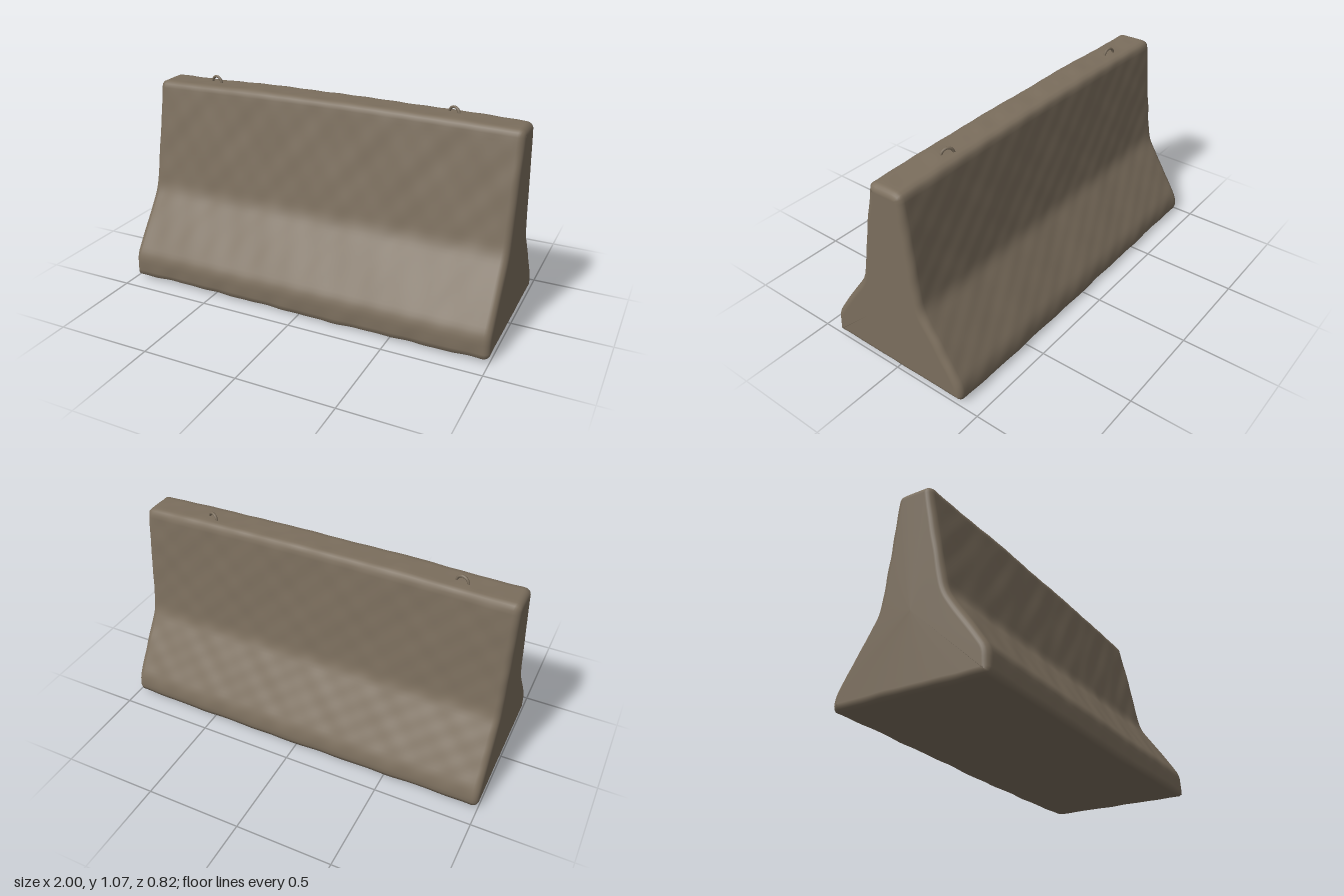
import * as THREE from 'three';

// Cross-section corners: z, y, length of the rounding
const CORNERS = [
  [0.408, 0.016, 0.02], [0.406, 0.135, 0.04], [0.178, 0.462, 0.05], [0.062, 1.04, 0.022],
  [-0.12, 1.04, 0.03], [-0.168, 0.58, 0.1], [-0.186, 0.44, 0.04], [-0.402, 0.1, 0.05], [-0.405, 0.016, 0.025],
];
const RING = 140;
const END_RADIUS = 0.035;

// Closed outline with softened corners, evenly resampled
function sectionPoints() {
  const pts = CORNERS.map(([z, y]) => new THREE.Vector2(z, y));
  const n = pts.length;
  const toward = (p, q, d) => p.clone().add(q.clone().sub(p).setLength(d));
  const shape = new THREE.Shape();
  pts.forEach((p, i) => {
    const r = CORNERS[i][2];
    const a = toward(p, pts[(i + n - 1) % n], r);
    const b = toward(p, pts[(i + 1) % n], r);
    if (i === 0) shape.moveTo(a.x, a.y); else shape.lineTo(a.x, a.y);
    shape.quadraticCurveTo(p.x, p.y, b.x, b.y);
  });
  shape.closePath();
  return shape.getSpacedPoints(RING).slice(0, RING);
}

// Gentle unevenness of cast concrete
function wobble(x, y, z) {
  return 0.0022 * Math.sin(9 * x + 5 * y + 3 * z) * Math.cos(7 * y - 4 * z + 2 * x)
    + 0.0016 * Math.sin(23 * x - 17 * y + 6 * z + 1) * Math.sin(19 * z + 11 * y)
    + 0.0012 * Math.sin(41 * x + 13 * z) * Math.cos(37 * y + 29 * z);
}

function barrierGeometry() {
  const ring = sectionPoints();
  const normals = ring.map((p, j) => {
    const t = ring[(j + 1) % RING].clone().sub(ring[(j + RING - 1) % RING]).normalize();
    return new THREE.Vector2(t.y, -t.x);
  });

  // Stations along the length, closing in at both rounded ends
  const stations = [];
  const edge = 1 - END_RADIUS;
  for (let k = 0; k <= 6; k++) {
    const a = (k / 6) * Math.PI / 2;
    stations.push([-edge - END_RADIUS * Math.cos(a), END_RADIUS * (1 - Math.sin(a))]);
  }
  for (let k = 1; k < 90; k++) stations.push([-edge + (2 * edge * k) / 90, 0]);
  for (let k = 6; k >= 0; k--) stations.push([-stations[k][0], stations[k][1]]);

  const pos = [];
  const index = [];
  for (const [x, inset] of stations) {
    ring.forEach((p, j) => {
      const d = wobble(x, p.y, p.x) - inset;
      const z = p.x + normals[j].x * d;
      let y = p.y + normals[j].y * d;
      // slightly crowned top and sagging underside
      y += 0.008 * Math.cos(x * 2.2) * THREE.MathUtils.smoothstep(y, 0.8, 1.04);
      y -= 0.009 * Math.exp(-8 * (x - 0.2) ** 2) * (1 - THREE.MathUtils.smoothstep(y, 0, 0.15));
      pos.push(x, y, z);
    });
  }
  const last = stations.length - 1;
  for (let i = 0; i < last; i++) {
    for (let j = 0; j < RING; j++) {
      const k = (j + 1) % RING;
      const a = i * RING + j, b = a + RING, c = (i + 1) * RING + k, d = i * RING + k;
      index.push(a, b, c, a, c, d);
    }
  }
  // Flat end faces
  const mid = pos.length / 3;
  pos.push(-1, 0.4, 0, 1, 0.4, 0);
  for (let j = 0; j < RING; j++) {
    const k = (j + 1) % RING;
    index.push(mid, j, k, mid + 1, last * RING + k, last * RING + j);
  }
  const geo = new THREE.BufferGeometry();
  geo.setAttribute('position', new THREE.Float32BufferAttribute(pos, 3));
  geo.setIndex(index);
  geo.computeVertexNormals();
  return geo;
}

export function createModel() {
  const group = new THREE.Group();
  group.name = 'concreteBarrier';
  const concrete = new THREE.MeshStandardMaterial({ color: 0x7b6e5d });
  concrete.name = 'concrete';

  const body = new THREE.Mesh(barrierGeometry(), concrete);
  body.name = 'barrierBody';
  group.add(body);

  // Lifting loops of bent bar
  const loop = new THREE.CatmullRomCurve3([
    [-0.032, -0.03], [-0.032, 0.008], [-0.021, 0.029], [0, 0.037], [0.021, 0.029], [0.032, 0.008], [0.032, -0.03],
  ].map(([x, y]) => new THREE.Vector3(x, y, 0)));
  const loopGeo = new THREE.TubeGeometry(loop, 28, 0.007, 8);
  for (const [name, x, z, turn] of [['rightLiftingLoop', -0.7, -0.04, -0.2], ['leftLiftingLoop', 0.627, -0.054, -0.42]]) {
    const mesh = new THREE.Mesh(loopGeo, concrete);
    mesh.name = name;
    mesh.position.set(x, 1.032, z);
    mesh.rotation.y = turn;
    group.add(mesh);
  }
  return group;
}
